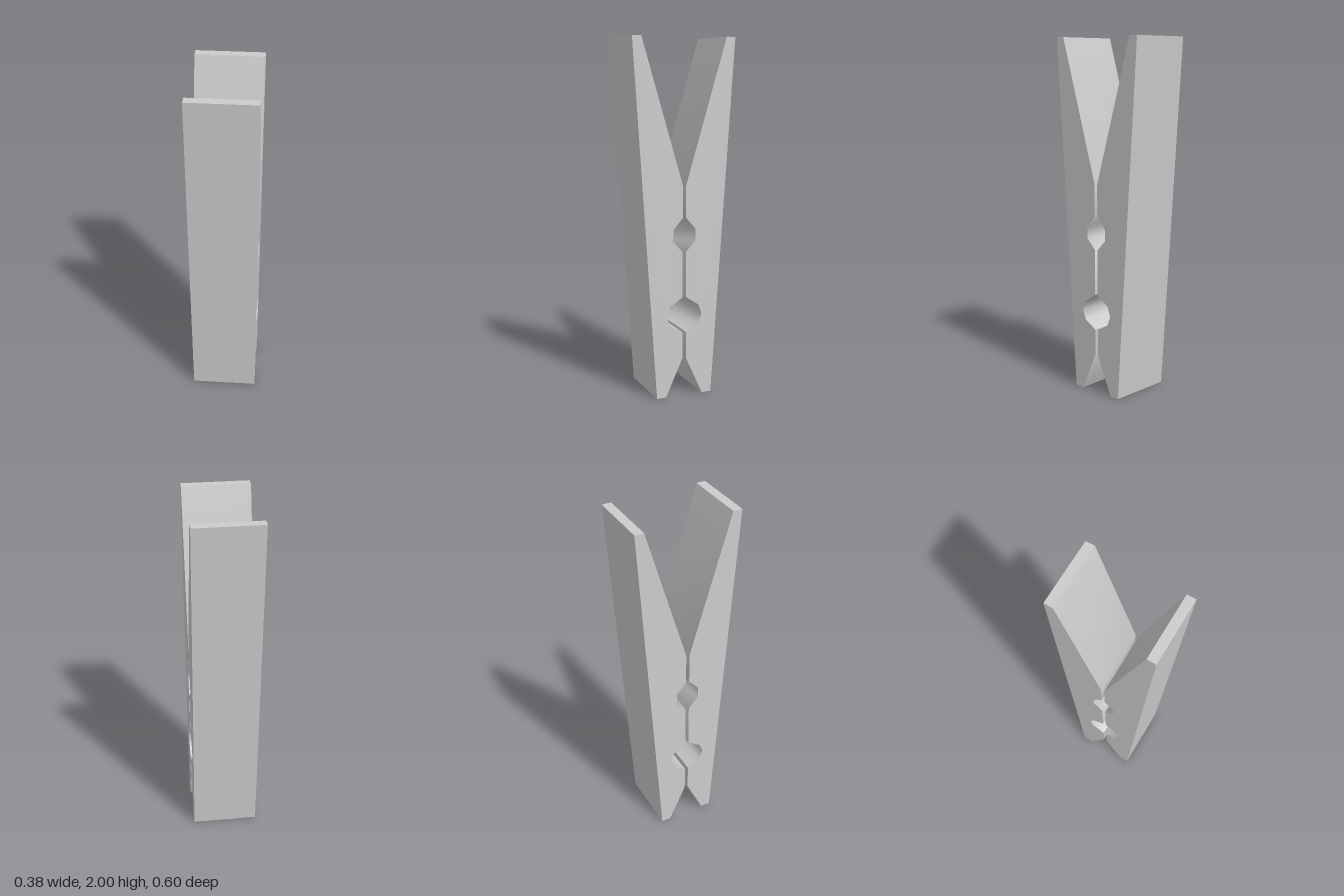
import * as THREE from 'three';
import { toCreasedNormals } from 'three/addons/utils/BufferGeometryUtils.js';

const WIDTH = 0.375;

// Side outline of one prong as (z, y), from the jaw tip up to the handle end
const PROFILE = [
  [0.165, 0], [0.11, 0], [0.01, 0.22],                                    // jaw bevel
  [0.01, 0.37], [0.085, 0.412], [0.107, 0.467], [0.085, 0.522], [0.01, 0.572], // gripping notch
  [0.01, 0.83], [0.067, 0.89], [0.067, 0.955], [0.01, 1.02],              // spring notch
  [0.01, 1.2], [0.248, 2], [0.3, 2],                                      // handle
];

function prongGeometry() {
  const shape = new THREE.Shape(PROFILE.map(([z, y]) => new THREE.Vector2(z, y)));
  const geometry = new THREE.ExtrudeGeometry(shape, { depth: WIDTH, bevelEnabled: false });
  geometry.translate(0, 0, -WIDTH / 2);
  geometry.rotateY(-Math.PI / 2);
  // Notch walls shade smoothly, outer corners stay sharp
  return toCreasedNormals(geometry, THREE.MathUtils.degToRad(50));
}

export function createModel() {
  const group = new THREE.Group();
  group.name = 'clothespin';
  const material = new THREE.MeshStandardMaterial({ color: 0xcccccc });
  const geometry = prongGeometry();

  // Two identical prongs facing each other across a thin gap
  ['frontProng', 'backProng'].forEach((name, i) => {
    const prong = new THREE.Mesh(geometry, material);
    prong.name = name;
    prong.rotation.y = i * Math.PI;
    group.add(prong);
  });
  return group;
}
